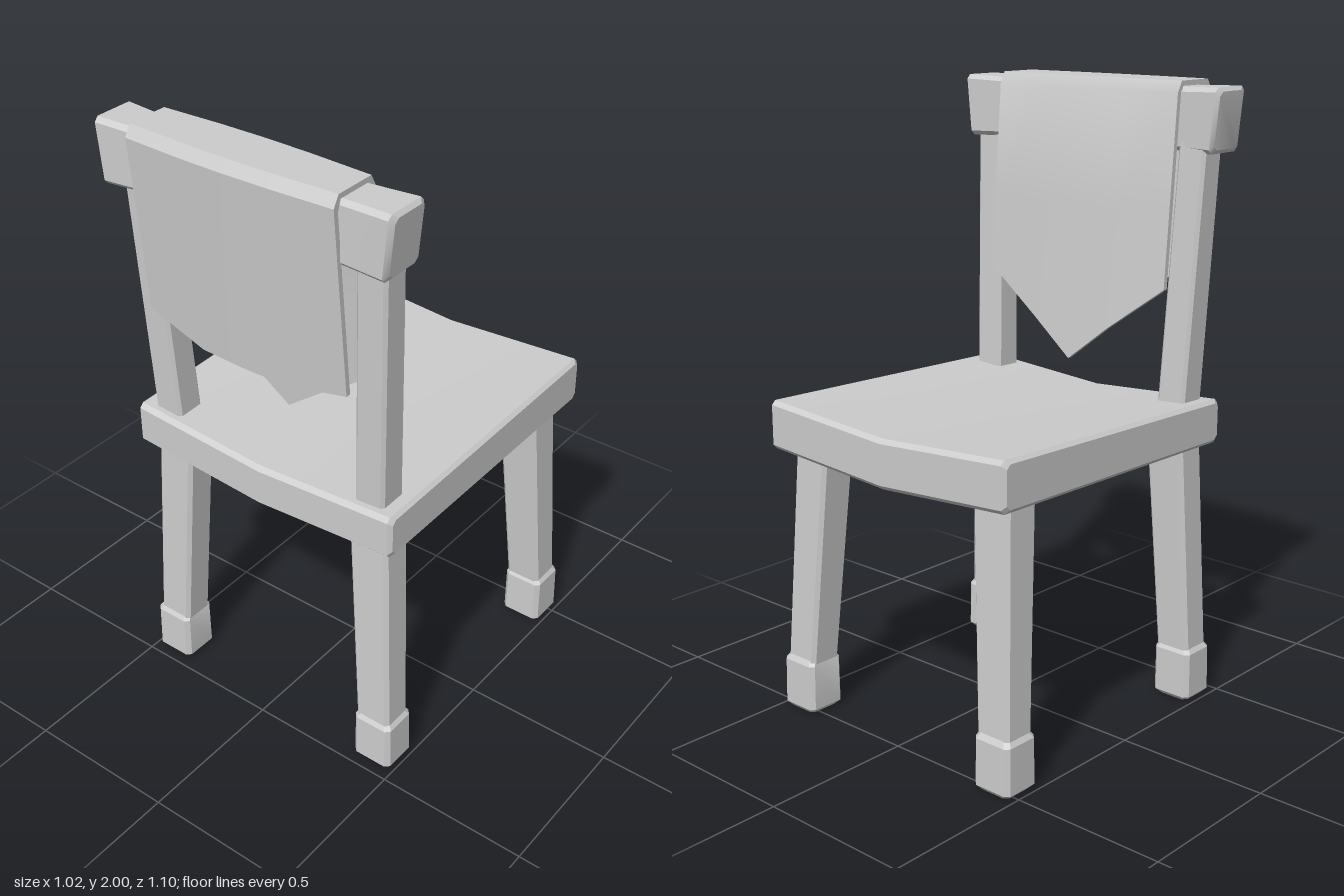
import * as THREE from 'three';
import { toCreasedNormals } from 'three/addons/utils/BufferGeometryUtils.js';

// Skin a row of equal, even-length rings of [x, y, z] points and cap both ends.
function loft(rings) {
  const n = rings[0].length, pos = [];
  const quad = (a, b, c, d) => pos.push(...a, ...b, ...c, ...a, ...c, ...d);
  for (let k = 0; k < rings.length - 1; k++) {
    for (let i = 0; i < n; i++) {
      const j = (i + 1) % n;
      quad(rings[k][i], rings[k][j], rings[k + 1][j], rings[k + 1][i]);
    }
  }
  // each cap is a strip joining the two halves of the ring
  const first = rings[0], last = rings[rings.length - 1];
  for (let i = 0; i < n / 2 - 1; i++) {
    quad(first[i], first[n - 1 - i], first[n - 2 - i], first[i + 1]);
    quad(last[i], last[i + 1], last[n - 2 - i], last[n - 1 - i]);
  }
  // turn the faces outward if the enclosed volume is negative
  let volume = 0;
  const [a, b, c] = [0, 1, 2].map(() => new THREE.Vector3());
  for (let i = 0; i < pos.length; i += 9) {
    a.fromArray(pos, i); b.fromArray(pos, i + 3); c.fromArray(pos, i + 6);
    volume += a.dot(b.cross(c));
  }
  if (volume < 0) {
    for (let i = 0; i < pos.length; i += 9) {
      for (let m = 3; m < 6; m++) [pos[i + m], pos[i + m + 3]] = [pos[i + m + 3], pos[i + m]];
    }
  }
  const geo = new THREE.BufferGeometry();
  geo.setAttribute('position', new THREE.Float32BufferAttribute(pos, 3));
  return toCreasedNormals(geo, 0.5);
}

// Rectangle with cut corners, as eight [u, v] points.
function cutRect(u0, u1, v0, v1, c) {
  return [[u0 + c, v0], [u1 - c, v0], [u1, v0 + c], [u1, v1 - c],
    [u1 - c, v1], [u0 + c, v1], [u0, v1 - c], [u0, v0 + c]];
}

// Upright post from rows of [y, x0, x1, z0, z1].
const post = (rows, c) => loft(rows.map(([y, x0, x1, z0, z1]) =>
  cutRect(x0, x1, z0, z1, c).map(([x, z]) => [x, y, z])));

export function createModel() {
  const group = new THREE.Group();
  const grey = new THREE.MeshStandardMaterial({ color: 0xcccccc });
  grey.name = 'plain grey';
  const add = (name, geo) => {
    const mesh = new THREE.Mesh(geo, grey);
    mesh.name = name;
    group.add(mesh);
  };

  // Seat: a slab dipping along its middle and sloping gently towards +z
  const seatRows = [[-0.49, 0.012], [-0.478, 0], [0, 0], [0.478, 0], [0.49, 0.012]];
  add('seat', loft(seatRows.map(([x, inset]) => {
    const dip = 0.032 * (1 - Math.abs(x) / 0.49);
    return cutRect(-0.553 + inset, 0.475 - inset, 0.872 + inset, 1.022 - inset, 0.014)
      .map(([z, y]) => [x, y - dip - (y > 0.95 ? 0.025 : 0.012) * (z + 0.04), z]);
  })));

  for (const side of [-1, 1]) {
    const label = side < 0 ? 'Right' : 'Left';
    const mirror = (rows) => rows.map(([y, x0, x1, z0, z1]) =>
      side > 0 ? [y, x0, x1, z0, z1] : [y, -x1, -x0, z0, z1]);

    // Splayed legs, each ending in a wider foot
    add('backrestLeg' + label, post(mirror([
      [0.17, 0.355, 0.478, 0.350, 0.459], [0.9, 0.308, 0.447, 0.325, 0.436]]), 0.012));
    add('backrestFoot' + label, post(mirror([
      [0, 0.368, 0.474, 0.355, 0.455], [0.016, 0.352, 0.49, 0.340, 0.470],
      [0.165, 0.352, 0.488, 0.342, 0.468], [0.185, 0.362, 0.474, 0.355, 0.455]]), 0.014));
    add('seatLeg' + label, post(mirror([
      [0.17, 0.355, 0.478, -0.527, -0.414], [0.9, 0.308, 0.447, -0.489, -0.362]]), 0.012));
    add('seatFoot' + label, post(mirror([
      [0, 0.368, 0.474, -0.525, -0.420], [0.016, 0.352, 0.49, -0.539, -0.405],
      [0.165, 0.352, 0.488, -0.537, -0.407], [0.185, 0.362, 0.474, -0.525, -0.420]]), 0.014));

    // Backrest posts leaning slightly outward and back
    add('backrestPost' + label, post(mirror([
      [0.95, 0.335, 0.438, 0.340, 0.441], [1.85, 0.366, 0.467, 0.384, 0.477]]), 0.01));
  }

  // Top rail, with slanted ends and set slightly askew
  const railRows = [
    [-0.511, 0.378, 0.525, 0.012], [-0.5, 0.378, 0.53, 0], [-0.36, 0.38, 0.522, 0.004],
    [0.34, 0.37, 0.512, 0.004], [0.496, 0.36, 0.512, 0], [0.508, 0.36, 0.508, 0.012]];
  add('topRail', loft(railRows.map(([x, z0, z1, inset]) =>
    cutRect(z0 + inset, z1 - inset, 1.785 + inset, 1.985 - inset, 0.014)
      .map(([z, y]) => [x * (1 + 0.2 * (y - 1.985)), y, z]))));

  // Cloth draped over the rail: rows of [x, bulge, short hem, pointed hem]
  const clothRows = [
    [-0.37, 0, 1.405, 1.365], [-0.17, 0.8, 1.338, 1.22], [-0.02, 1, 1.333, 1.10],
    [0.13, 0.8, 1.333, 1.215], [0.342, 0, 1.375, 1.365]];
  add('drapedCloth', loft(clothRows.map(([x, b, shortHem, longHem]) => {
    const skew = -0.013 * (x + 0.37);
    const out = 0.012 * b;
    const front = (y) => 0.366 - out - 0.078 * (1.95 - y);
    const back = (y) => 0.542 + out - 0.085 * (1.95 - y);
    const t = 0.016;
    const outer = [[back(shortHem), shortHem], [back(1.7), 1.7], [back(1.965), 1.965], [back(1.95) - 0.02, 2],
      [front(1.95) + 0.02, 2], [front(1.965), 1.965], [front(1.6), 1.6], [front(longHem), longHem]];
    const inner = [[front(longHem) + t, longHem], [front(1.6) + t, 1.6], [front(1.95) + t, 1.95],
      [front(1.95) + t + 0.012, 1.984], [back(1.95) - t - 0.012, 1.984], [back(1.95) - t, 1.95],
      [back(1.7) - t, 1.7], [back(shortHem) - t, shortHem]];
    return [...outer, ...inner].map(([z, y]) => [x, y, z + skew]);
  })));

  return group;
}
